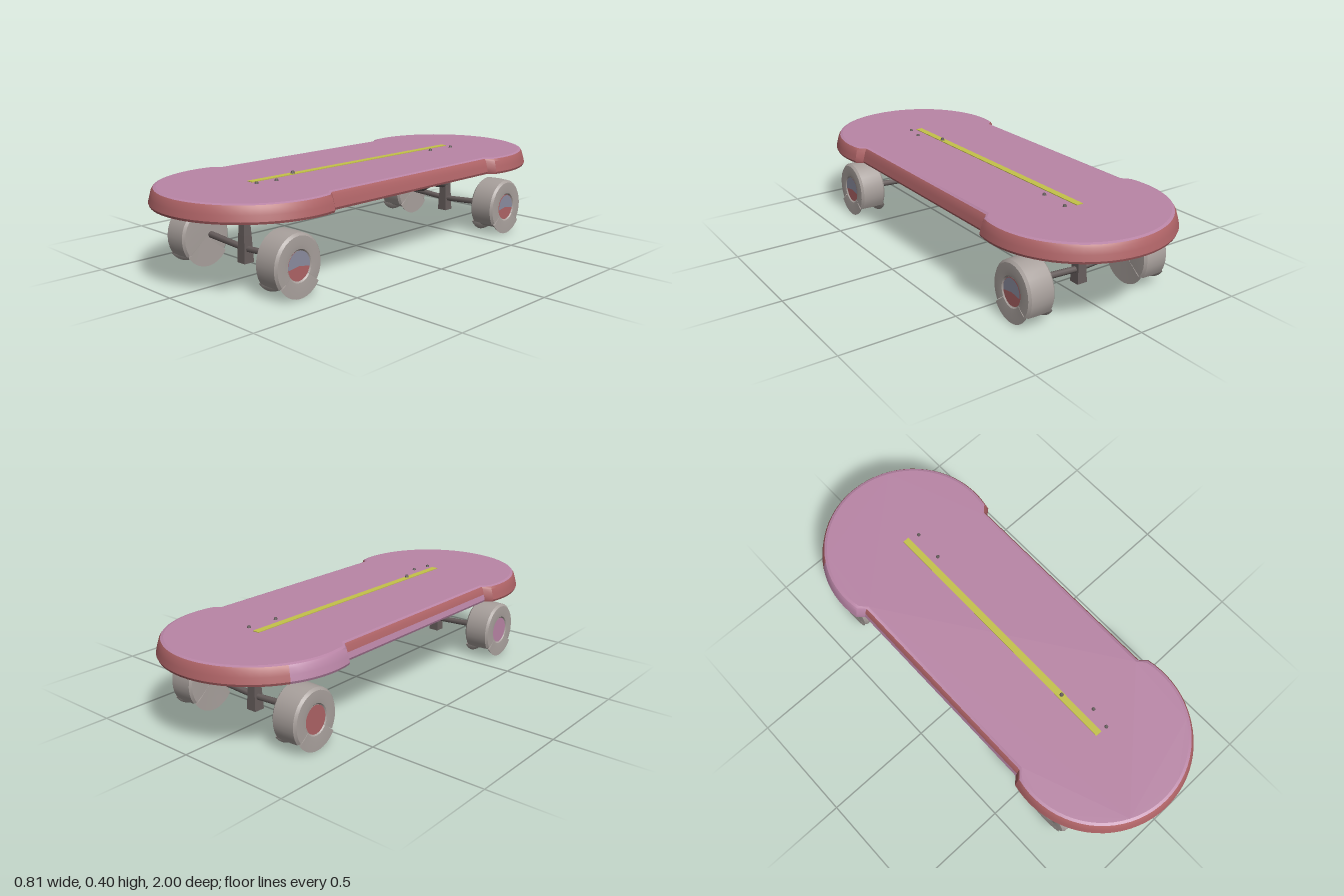
import * as THREE from 'three';
import { toCreasedNormals } from 'three/addons/utils/BufferGeometryUtils.js';

const mat = (name, color, side = THREE.FrontSide) => {
  const m = new THREE.MeshStandardMaterial({ color, side });
  m.name = name;
  return m;
};

export function createModel() {
  const model = new THREE.Group();
  const pink = mat('pink', 0xb985a6);
  const red = mat('red', 0xae6366);
  const yellow = mat('yellow', 0xc4c24a);
  const metal = mat('darkMetal', 0x665d5c);
  const rubber = mat('greyWheel', 0xa8a09c, THREE.DoubleSide);
  const blue = mat('blueGrey', 0x8c8da0);

  const add = (parent, name, geo, material, x = 0, y = 0, z = 0) => {
    const m = new THREE.Mesh(geo, material);
    m.name = name;
    m.position.set(x, y, z);
    parent.add(m);
    return m;
  };

  // Deck outline: two round ends joined by a narrower waist
  const outline = (inset) => {
    const w = 0.367 - inset, R = 0.405 - inset, half = [[w, 0.485]];
    for (let i = 0; i <= 40; i++) {
      const a = THREE.MathUtils.degToRad(-12 + (204 * i) / 40);
      half.push([R * Math.cos(a), 0.595 + R * Math.sin(a)]);
    }
    half.push([-w, 0.485]);
    return [...half, ...half.map(([x, z]) => [-x, -z])];
  };

  // Deck wall: inner wall, rim and flared outer wall as [height, inset] rings
  const rings = [[0.372, 0.032], [0.322, 0.014], [0.318, 0.004], [0.328, 0],
    [0.352, 0.006], [0.376, 0.013], [0.386, 0.02], [0.39, 0.032]];
  const loops = rings.map(([y, inset]) => outline(inset).map(([x, z]) => [x, y, z]));
  const redPos = [], pinkPos = [];
  for (let r = 0; r < rings.length - 1; r++) {
    const n = loops[r].length;
    for (let i = 0; i < n; i++) {
      const j = (i + 1) % n;
      const a = loops[r][i], b = loops[r][j], c = loops[r + 1][j], d = loops[r + 1][i];
      const mx = (a[0] + b[0]) / 2, mz = (a[2] + b[2]) / 2;
      const waist = Math.abs(mz) < 0.1;
      const painted = r >= 2 && mx < 0 && mz > -0.78 && mz < 0.3 && !(waist && r > 3);
      const isPink = r === 6 || painted;
      (isPink ? pinkPos : redPos).push(...a, ...d, ...c, ...a, ...c, ...b);
    }
  }
  const wall = (pos) => {
    const g = new THREE.BufferGeometry();
    g.setAttribute('position', new THREE.Float32BufferAttribute(pos, 3));
    return toCreasedNormals(g, 0.6);
  };
  add(model, 'deckRim', wall(redPos), red);
  add(model, 'paintedRim', wall(pinkPos), pink);
  const cap = (dir) => new THREE.ShapeGeometry(new THREE.Shape(
    outline(0.032).map(([x, z]) => new THREE.Vector2(x, -dir * z)))).rotateX(-dir * Math.PI / 2);
  add(model, 'deckTop', cap(1), pink, 0, 0.39, 0);
  add(model, 'deckUnderside', cap(-1), red, 0, 0.372, 0);

  // Stripe and bolts on the deck
  add(model, 'stripe', new THREE.BoxGeometry(0.03, 0.004, 1.22), yellow, -0.004, 0.391, -0.01);
  for (const [x, z] of [[0.055, -0.6], [0.045, -0.46], [0.055, 0.51], [0.04, 0.6]])
    add(model, 'bolt', new THREE.CylinderGeometry(0.006, 0.009, 0.01, 8), metal, x, 0.393, z);
  add(model, 'centreBolt', new THREE.CylinderGeometry(0.006, 0.011, 0.016, 8), metal, 0, 0.396, 0.375);

  // Wheel: tyre with a separate hollowed tread section at the bottom
  const lathe = (pts, start, len) => toCreasedNormals(new THREE.LatheGeometry(
    pts.map(([r, y]) => new THREE.Vector2(r, y)), 20, start, len).rotateZ(-Math.PI / 2), 0.6);
  const tyre = [[0, -0.062], [0.085, -0.064], [0.118, -0.062], [0.128, -0.052], [0.13, 0],
    [0.128, 0.052], [0.118, 0.062], [0.085, 0.064], [0.066, 0.062], [0.06, 0.056], [0, 0.056]];
  const tread = [[0, -0.062], [0.085, -0.064], [0.128, -0.065], [0.125, -0.058], [0.108, -0.045],
    [0.106, 0.045], [0.125, 0.058], [0.128, 0.065], [0.085, 0.064], [0.066, 0.062], [0.06, 0.056], [0, 0.056]];
  const arc = 1.86, gap = 0.03;
  const hubDisc = (parent, material, start, len, x) =>
    add(parent, 'hub', new THREE.CircleGeometry(0.06, 20, start, len).rotateY(Math.PI / 2), material, x);
  const makeWheel = (side, end) => {
    const g = new THREE.Group();
    g.name = (end > 0 ? 'front' : 'rear') + (side > 0 ? 'Left' : 'Right') + 'Wheel';
    add(g, 'tyre', lathe(tyre, Math.PI / 2 + arc / 2 + gap, Math.PI * 2 - arc - gap * 2), rubber);
    add(g, 'lowerTread', lathe(tread, Math.PI / 2 - arc / 2, arc), rubber);
    if (side > 0) {
      hubDisc(g, red, 0, Math.PI * 2, 0.058);
      const patch = hubDisc(g, blue, -0.15, Math.PI + 0.3, 0.06);
      if (end < 0) patch.scale.set(1, 0.95, 0.95);
    } else hubDisc(g, end > 0 ? pink : red, 0, Math.PI * 2, 0.059);
    g.position.set(side * 0.292, 0.131, end * 0.658);
    g.rotation.y = side > 0 ? 0 : Math.PI;
    g.scale.z = 0.91;
    model.add(g);
  };

  // Square tapered post section
  const post = (top, bottom, h) => toCreasedNormals(new THREE.CylinderGeometry(
    top * Math.SQRT2, bottom * Math.SQRT2, h, 4).rotateY(Math.PI / 4), 0.5);

  for (const end of [1, -1]) {
    for (const side of [1, -1]) makeWheel(side, end);
    const truck = new THREE.Group();
    truck.name = end > 0 ? 'frontTruck' : 'rearTruck';
    truck.position.z = end * 0.635;
    model.add(truck);
    add(truck, 'postFoot', post(0.019, 0.024, 0.115), metal, 0, 0.1225, 0);
    add(truck, 'postStem', post(0.014, 0.019, 0.09), metal, 0, 0.225, 0);
    add(truck, 'postTop', post(0.014, 0.014, 0.102), red, 0, 0.321, 0).scale.z = 0.8;
    // Tapered half axles rising slightly toward the wheels
    for (const side of [1, -1]) {
      const axle = add(truck, 'axle', new THREE.CylinderGeometry(0.015, 0.013, 0.25, 8),
        metal, side * 0.12, 0.13, 0);
      axle.rotation.z = -side * (Math.PI / 2 - 0.06);
    }
    // Mounting bar in the deck recess
    const len = end > 0 ? 0.28 : 0.16;
    add(truck, 'mountBar', new THREE.BoxGeometry(0.032, 0.03, len), metal, 0, 0.352, -end * (len / 2 - 0.01));
  }

  // Rear strut with a domed cushion
  const strut = add(model, 'rearStrut', new THREE.CylinderGeometry(0.03, 0.02, 0.22, 8), metal, 0, 0.222, -0.53);
  strut.rotation.x = Math.PI / 2 - 0.25;
  const dome = [[0, -0.06], [0.05, -0.05], [0.074, -0.035], [0.083, -0.022], [0.074, 0.01], [0.052, 0.035]];
  const tip = [[0.052, 0.035], [0.03, 0.05], [0, 0.055]];
  const cushion = new THREE.Group();
  cushion.name = 'rearCushion';
  for (const [name, pts, m] of [['cushionBody', dome, metal], ['cushionTip', tip, red]])
    add(cushion, name, new THREE.LatheGeometry(pts.map(([r, y]) => new THREE.Vector2(r, y)), 16), m);
  cushion.position.set(0, 0.251, -0.415);
  cushion.scale.z = 0.55;
  model.add(cushion);

  return model;
}
